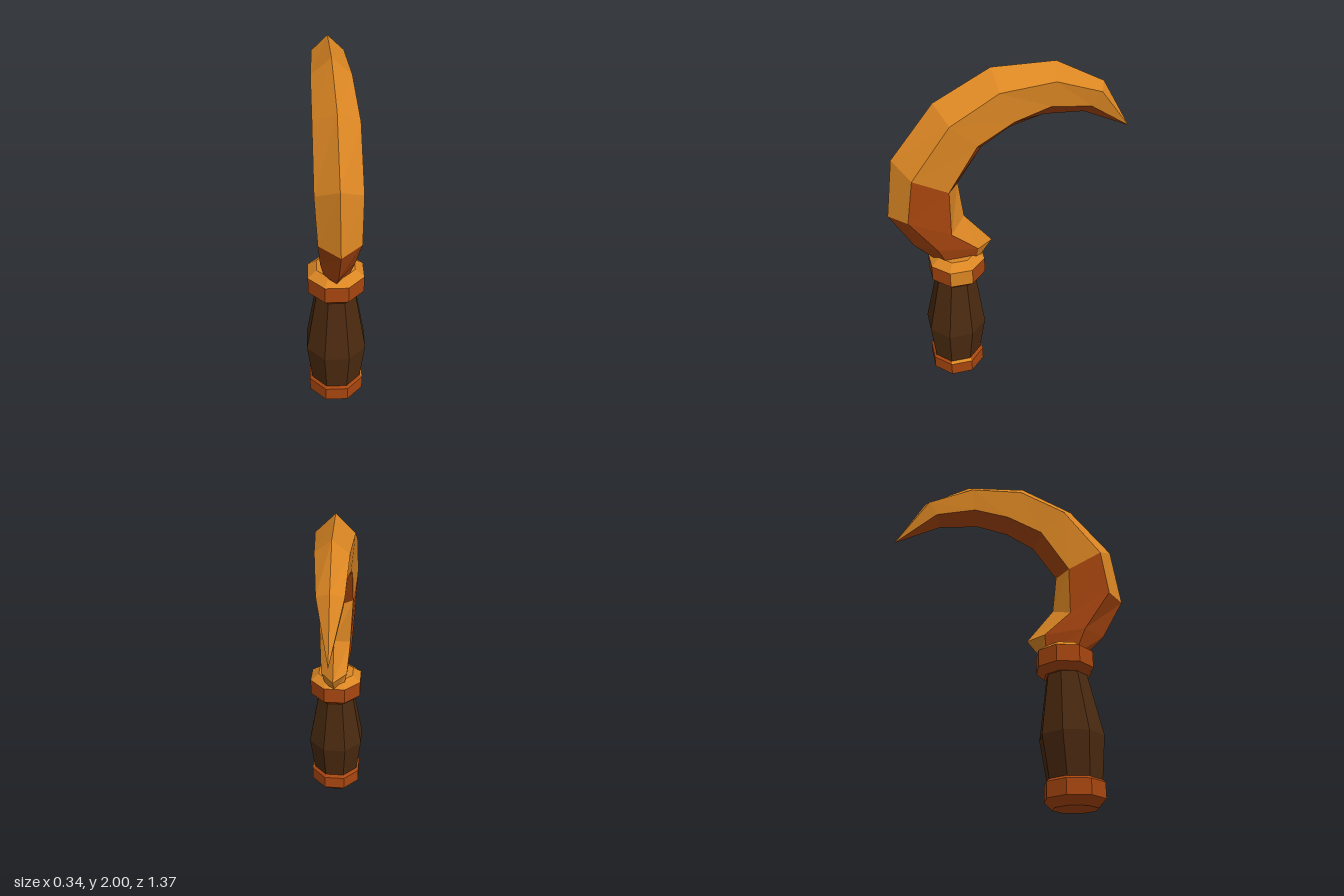
import * as THREE from 'three';

const gold = new THREE.MeshStandardMaterial({ color: 0xdb8623 });
gold.name = 'gold';
const rust = new THREE.MeshStandardMaterial({ color: 0xa8460f });
rust.name = 'rust orange';
const wood = new THREE.MeshStandardMaterial({ color: 0x4b2a10 });
wood.name = 'dark wood';
const materials = [gold, rust, wood];
const GOLD = 0, RUST = 1, WOOD = 2;

// Skin a list of equal-length rings with flat facets; colourOf(section, side) picks the material.
function loft(name, rings, colourOf) {
  const buckets = materials.map(() => []);
  const n = rings[0].length;
  for (let i = 0; i < rings.length - 1; i++) {
    for (let j = 0; j < n; j++) {
      const k = (j + 1) % n;
      const a = rings[i][j], b = rings[i][k], c = rings[i + 1][k], d = rings[i + 1][j];
      for (const tri of [[a, b, c], [a, c, d]]) {
        const t = new THREE.Triangle(...tri);
        if (t.getArea() > 1e-7) buckets[colourOf(i, j)].push(...tri);
      }
    }
  }
  const geometry = new THREE.BufferGeometry().setFromPoints(buckets.flat());
  let start = 0;
  buckets.forEach((points, m) => {
    if (points.length) geometry.addGroup(start, points.length, m);
    start += points.length;
  });
  geometry.computeVertexNormals();
  const mesh = new THREE.Mesh(geometry, materials);
  mesh.name = name;
  return mesh;
}

// Eight-sided ring whose flats face the axes; r is the distance to a flat.
function octagon([y, r, z]) {
  const R = r / Math.cos(Math.PI / 8);
  return Array.from({ length: 8 }, (_, j) => {
    const a = (j - 0.5) * Math.PI / 4;
    return new THREE.Vector3(R * Math.sin(a), y, z + R * Math.cos(a));
  });
}

const turned = (name, profile, colourOf) => loft(name, profile.map(octagon), colourOf);

// Blade section: outer ridge, shoulders, inner sides, inner ridge, as [z, y] pairs.
function bladeRing({ o, s, i, c, w, x }) {
  const p = (dx, [z, y]) => new THREE.Vector3(x + dx, y, z);
  const v = w * 0.85;
  return [p(0, o), p(w, s), p(v, i), p(0, c), p(-v, i), p(-w, s)];
}

export function createModel() {
  const group = new THREE.Group();
  group.name = 'sickle';

  group.add(turned('pommel', [
    [0, 0, 0.355], [0, 0.115, 0.355], [0.045, 0.155, 0.355],
    [0.13, 0.155, 0.355], [0.155, 0.13, 0.355], [0.155, 0, 0.355],
  ], (i, j) => (i === 3 && j === 2 ? GOLD : RUST)));

  group.add(turned('grip', [
    [0.14, 0.14, 0.357], [0.38, 0.168, 0.35], [0.74, 0.108, 0.335],
  ], () => WOOD));

  // Collar with a gold top and one gold side facet
  group.add(turned('collar', [
    [0.73, 0, 0.328], [0.73, 0.115, 0.328], [0.77, 0.154, 0.326],
    [0.868, 0.154, 0.326], [0.905, 0.105, 0.325], [0.905, 0, 0.325],
  ], (i, j) => (i >= 3 || (i === 2 && j === 2) ? GOLD : RUST)));

  // Curved blade from the collar to the tip
  const tip = [-0.68, 1.56];
  const sections = [
    { o: [0.43, 0.85], s: [0.38, 0.85], i: [0.22, 0.85], c: [0.19, 0.85], w: 0.06, x: 0 },
    { o: [0.56, 0.99], s: [0.44, 1.0], i: [0.21, 0.96], c: [0.115, 0.95], w: 0.092, x: 0.005 },
    { o: [0.685, 1.22], s: [0.59, 1.23], i: [0.36, 1.1], c: [0.27, 1.15], w: 0.11, x: 0.01 },
    { o: [0.635, 1.56], s: [0.55, 1.49], i: [0.36, 1.38], c: [0.295, 1.37], w: 0.12, x: 0.006 },
    { o: [0.4, 1.85], s: [0.34, 1.77], i: [0.2, 1.63], c: [0.16, 1.57], w: 0.117, x: 0.002 },
    { o: [0.1, 2.0], s: [0.08, 1.905], i: [0, 1.73], c: [0, 1.66], w: 0.104, x: -0.012 },
    { o: [-0.24, 1.995], s: [-0.22, 1.92], i: [-0.2, 1.78], c: [-0.18, 1.705], w: 0.086, x: -0.02 },
    { o: [-0.51, 1.85], s: [-0.48, 1.82], i: [-0.43, 1.74], c: [-0.41, 1.685], w: 0.067, x: -0.033 },
    { o: tip, s: tip, i: tip, c: tip, w: 0, x: -0.04 },
  ];
  group.add(loft('blade', sections.map(bladeRing), (i, j) => {
    const band = Math.min(j, 5 - j); // 0 outer bevel, 1 side, 2 inner bevel
    if (band === 0) return i < 2 ? RUST : GOLD;
    if (band === 1) return i < 3 ? RUST : GOLD;
    return i < 3 ? GOLD : RUST;
  }));

  return group;
}
